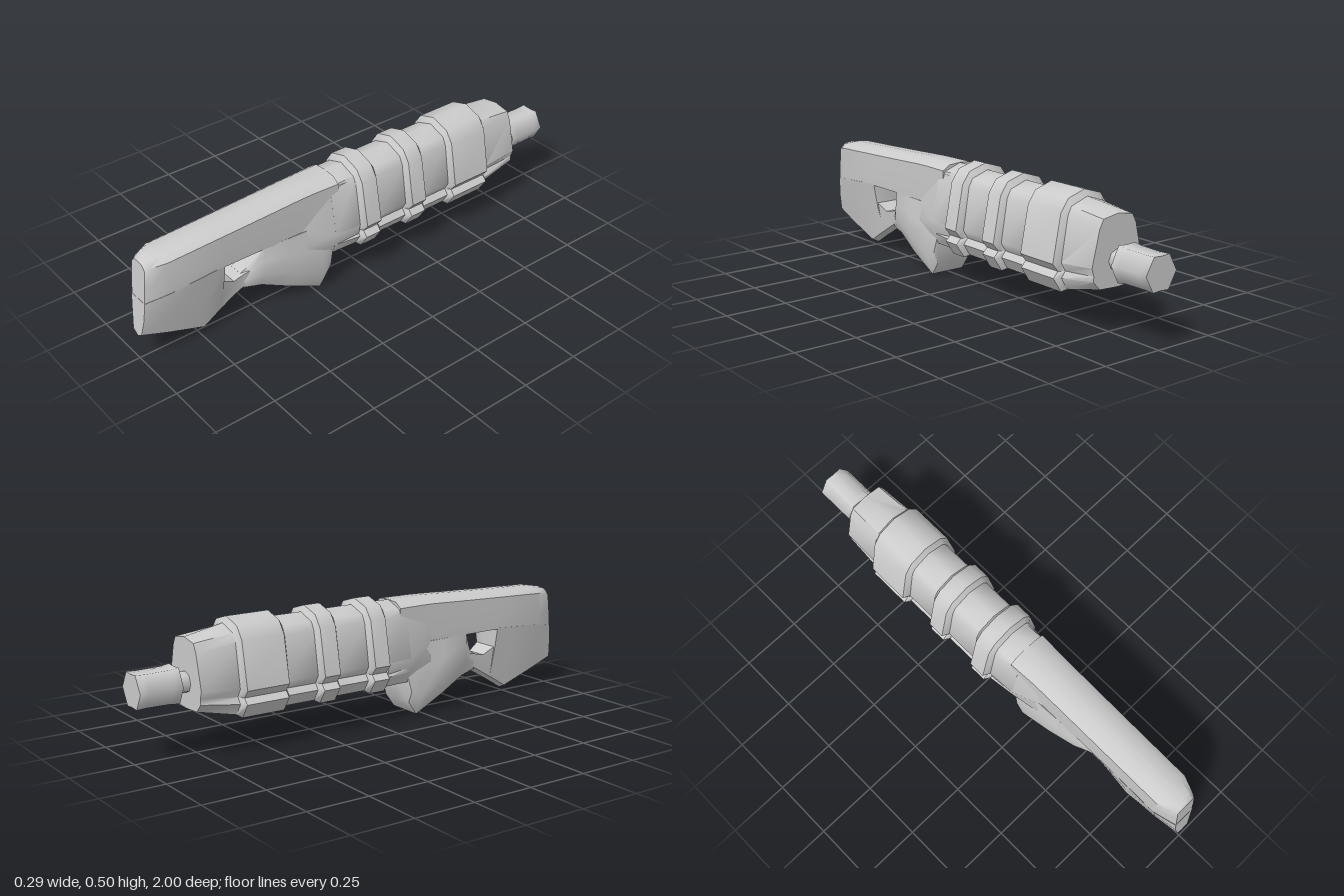
import * as THREE from 'three';
import { toCreasedNormals } from 'three/addons/utils/BufferGeometryUtils.js';

const material = new THREE.MeshStandardMaterial({ color: 0xcccccc });

// Skins mirrored half-profiles. A section is [z, [[x, y, zOffset?], ...]],
// listed from +z to -z, each profile running from top centre to bottom centre.
function loft(name, sections, crease = 0.75) {
  const pos = [], idx = [];
  const rings = sections.map(([z, half]) => {
    const right = half.map(([x, y, dz = 0]) => [x, y, z + dz]);
    const left = right.slice(1, -1).reverse().map(([x, y, pz]) => [-x, y, pz]);
    return [...right, ...left];
  });
  const n = rings[0].length;
  rings.forEach(r => r.forEach(p => pos.push(...p)));
  for (let i = 0; i < rings.length - 1; i++) {
    for (let j = 0; j < n; j++) {
      const a = i * n + j, b = i * n + (j + 1) % n;
      idx.push(a, b, a + n, b, b + n, a + n);
    }
  }
  // end caps
  [0, rings.length - 1].forEach((ri, end) => {
    const c = pos.length / 3;
    pos.push(...[0, 1, 2].map(k => rings[ri].reduce((s, p) => s + p[k], 0) / n));
    for (let j = 0; j < n; j++) {
      const a = ri * n + j, b = ri * n + (j + 1) % n;
      idx.push(c, ...(end ? [a, b] : [b, a]));
    }
  });
  const geo = new THREE.BufferGeometry();
  geo.setAttribute('position', new THREE.Float32BufferAttribute(pos, 3));
  geo.setIndex(idx);
  const mesh = new THREE.Mesh(toCreasedNormals(geo, crease), material);
  mesh.name = name;
  return mesh;
}

// Housing profiles: plain body, raised band and tapered nose
const plain = [[0, 0.478], [0.075, 0.452], [0.092, 0.42], [0.12, 0.25], [0.1, 0.217], [0.118, 0.193], [0.09, 0.147], [0, 0.147]];
const raised = [[0, 0.502], [0.078, 0.478], [0.112, 0.43], [0.147, 0.247], [0.122, 0.216], [0.143, 0.193], [0.105, 0.136], [0, 0.14]];
const nose = [[0, 0.447], [0.07, 0.435], [0.088, 0.4], [0.12, 0.265], [0.11, 0.235], [0.112, 0.215], [0.08, 0.182], [0, 0.178]];
const shoulder = [[0, 0.477], [0.076, 0.448], [0.082, 0.42], [0.113, 0.25], [0.105, 0.217], [0.105, 0.193], [0.085, 0.147], [0, 0.145]];

function housing() {
  const sections = [[0.165, shoulder], [0.06, plain]];
  for (const [back, front] of [[0.05, -0.05], [-0.185, -0.285], [-0.415, -0.625]]) {
    sections.push([back, plain], [back - 0.015, raised], [front + 0.015, raised], [front, plain]);
  }
  sections.push([-0.785, nose]);
  return loft('housing', sections);
}

// Upper stock profile: slightly crowned top, flat sides, open-hole ceiling
const beam = (top, w, bottom, lean = 0) => [
  [0, top], [w * 0.62, top - 0.004], [w, top - 0.025], [w, 0.34, lean / 2], [w * 0.97, bottom, lean], [0, bottom, lean],
];

// Lower stock profile: tapers to a thin toe
const toe = (top, w, bottom, b) => [
  [0, top], [w, top], [w * 0.55 + b * 0.45, top * 0.55 + bottom * 0.45], [b, bottom + 0.015], [0, bottom],
];

// Grip profile: bulges low down, flat underside
const grip = (top, w, midY, mid, bottom, b) => [
  [0, top], [w, top], [(w + mid) / 2, (top + midY) / 2], [mid, midY], [b, bottom], [0, bottom],
];

export function createModel() {
  const group = new THREE.Group();
  group.add(housing());

  group.add(loft('upperStock', [
    [0.965, beam(0.43, 0.045, 0.26, 0.015)],
    [0.945, beam(0.442, 0.054, 0.27, 0.01)],
    [0.885, beam(0.453, 0.076, 0.285)],
    [0.65, beam(0.462, 0.077, 0.3)],
    [0.48, beam(0.469, 0.078, 0.3)],
    [0.3, beam(0.477, 0.079, 0.28)],
    [0.24, beam(0.478, 0.08, 0.22)],
    [0.13, beam(0.478, 0.085, 0.16)],
  ]));

  // Flare joining the slim stock to the wide housing
  group.add(loft('stockFlare', [
    [0.3, [[0, 0.42], [0.07, 0.4], [0.078, 0.3], [0.088, 0.22], [0.075, 0.16], [0, 0.16]]],
    [0.165, [[0, 0.45], [0.078, 0.44], [0.113, 0.25], [0.105, 0.195], [0.085, 0.147], [0, 0.147]]],
    [0.05, [[0, 0.45], [0.08, 0.44], [0.12, 0.25], [0.11, 0.195], [0.088, 0.149], [0, 0.149]]],
  ]));

  // Rear lower stock and the thin bar beneath the opening
  group.add(loft('lowerStock', [
    [0.998, [[0, 0.27, -0.018], [0.046, 0.27, -0.018], [0.04, 0.19, -0.01], [0.028, 0.125], [0, 0.108]]],
    [0.89, toe(0.29, 0.074, 0.073, 0.034)],
    [0.735, toe(0.3, 0.076, 0.018, 0.032)],
    [0.652, toe(0.305, 0.075, 0.07, 0.033)],
    [0.65, toe(0.22, 0.055, 0.07, 0.033)],
    [0.6, toe(0.19, 0.045, 0.1, 0.034)],
    [0.55, toe(0.202, 0.045, 0.128, 0.04)],
    [0.49, toe(0.21, 0.05, 0.13, 0.045)],
  ]));

  group.add(loft('grip', [
    [0.56, grip(0.2, 0.03, 0.165, 0.04, 0.132, 0.032)],
    [0.535, grip(0.217, 0.035, 0.17, 0.05, 0.13, 0.04)],
    [0.48, grip(0.302, 0.074, 0.19, 0.08, 0.12, 0.05)],
    [0.36, grip(0.3, 0.078, 0.15, 0.098, 0.065, 0.068)],
    [0.22, grip(0.3, 0.085, 0.08, 0.104, 0.002, 0.076)],
    [0.18, grip(0.28, 0.09, 0.105, 0.098, 0.058, 0.078)],
    [0.167, grip(0.26, 0.09, 0.16, 0.093, 0.138, 0.076)],
  ]));

  // Barrel neck and six-sided muzzle
  const neck = new THREE.Mesh(new THREE.CylinderGeometry(0.041, 0.041, 0.09, 8), material);
  neck.name = 'barrelNeck';
  neck.rotation.x = Math.PI / 2;
  neck.position.set(0, 0.278, -0.81);
  group.add(neck);

  const hex = s => [[0, 0.278 + 0.063 * s], [0.038 * s, 0.278 + 0.066 * s], [0.073, 0.278],
    [0.038 * s, 0.278 - 0.066 * s], [0, 0.278 - 0.063 * s]];
  group.add(loft('muzzle', [[-0.83, hex(1.03)], [-0.865, hex(0.96)], [-0.96, hex(0.94)], [-1, hex(0.97)]], 1.2));

  return group;
}
